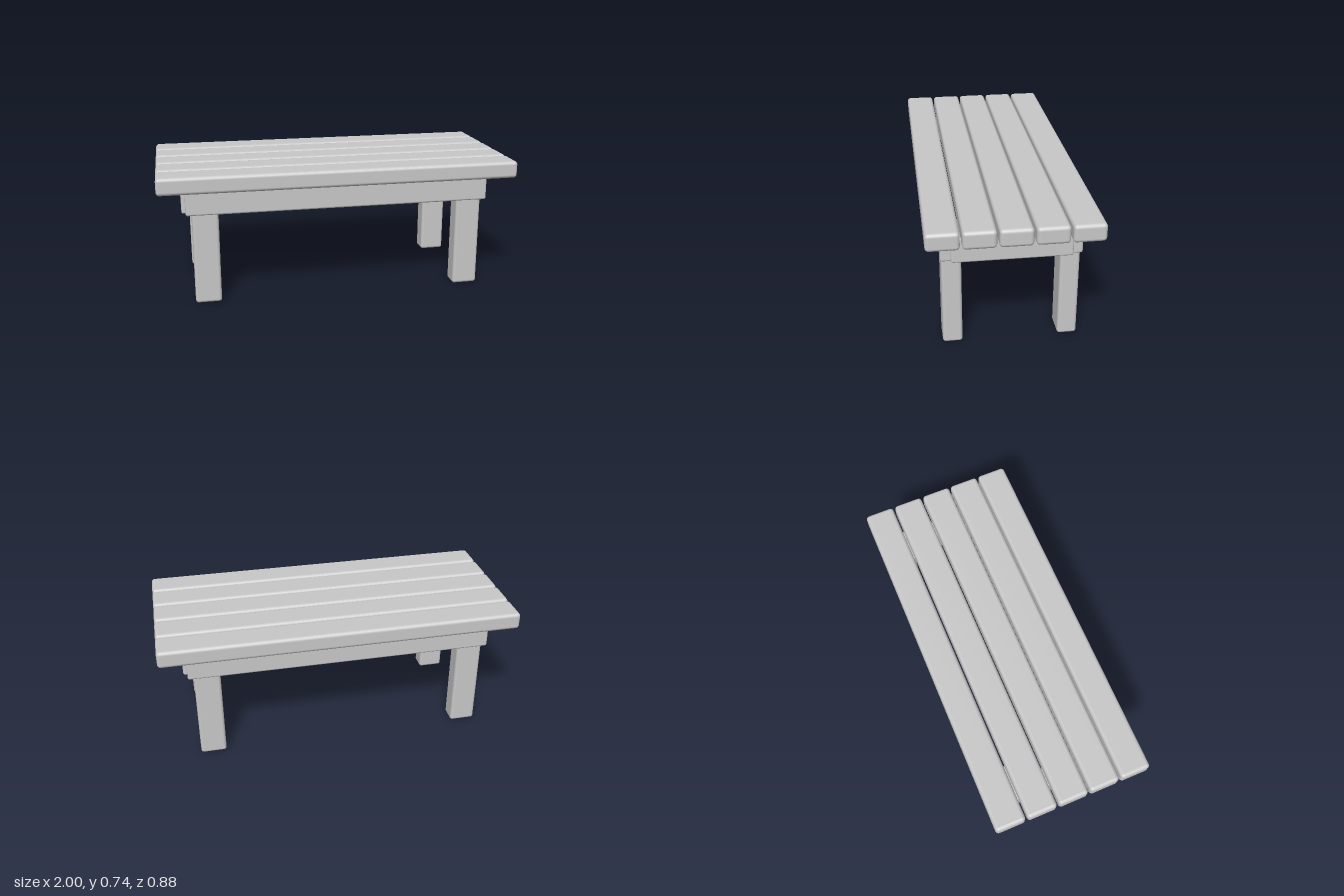
import * as THREE from 'three';
import { RoundedBoxGeometry } from 'three/addons/geometries/RoundedBoxGeometry.js';

export function createModel() {
  const group = new THREE.Group();
  group.name = 'slattedBench';
  const wood = new THREE.MeshStandardMaterial({ color: 0xc8c8c8 });
  wood.name = 'plain grey';

  // Rounded beam given by its extents on each axis
  function beam(name, [x0, x1], [y0, y1], [z0, z1], radius) {
    const geometry = new RoundedBoxGeometry(x1 - x0, y1 - y0, z1 - z0, 4, radius);
    const mesh = new THREE.Mesh(geometry, wood);
    mesh.position.set((x0 + x1) / 2, (y0 + y1) / 2, (z0 + z1) / 2);
    mesh.name = name;
    group.add(mesh);
  }
  // Extents mirrored to the negative side when s is -1
  const side = (s, a, b) => (s > 0 ? [a, b] : [-b, -a]);

  // Five seat slats running lengthwise
  for (let i = -2; i <= 2; i++) {
    const z = i * 0.1787;
    beam(`slat${i + 3}`, [-1, 1], [0.648, 0.744], [z - 0.084, z + 0.084], 0.02);
  }

  for (const s of [1, -1]) {
    // Long rails along front and back
    beam(s > 0 ? 'frontRail' : 'backRail',
      [-0.852, 0.852], [0.508, 0.647], side(s, 0.29, 0.362), 0.012);
    // Short rails across the ends
    beam(s > 0 ? 'leftEndRail' : 'rightEndRail',
      side(s, 0.765, 0.873), [0.508, 0.647], [-0.31, 0.31], 0.012);
    // Legs, rising just into the seat slats
    for (const t of [1, -1]) {
      beam((t > 0 ? 'front' : 'back') + (s > 0 ? 'Left' : 'Right') + 'Leg',
        side(s, 0.676, 0.82), [0, 0.66], side(t, 0.253, 0.357), 0.016);
    }
  }
  return group;
}
